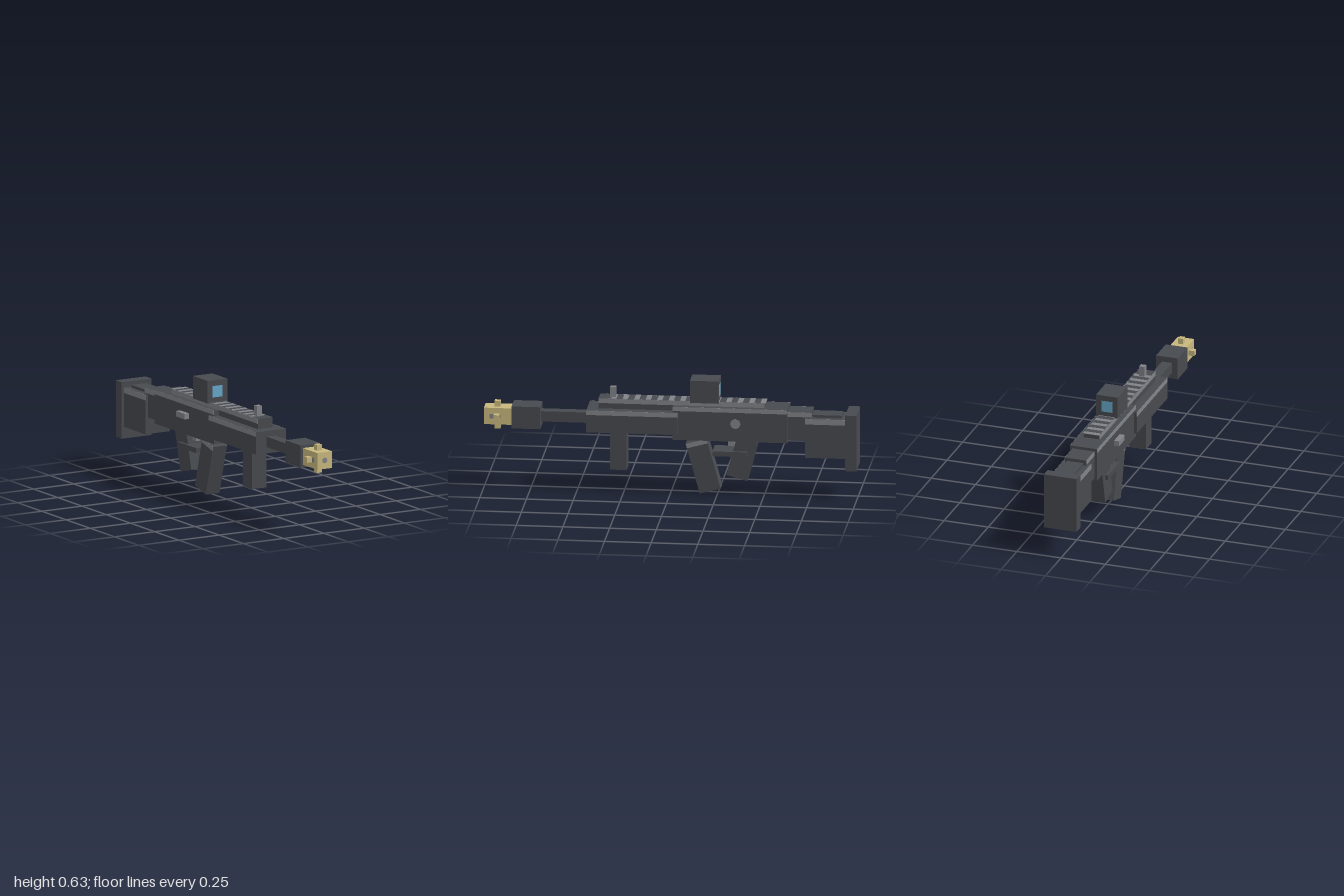
import * as THREE from 'three';

const CX = 0.005; // centre plane of the body

export function createModel() {
  const model = new THREE.Group();
  model.name = 'blockRifle';

  const mat = (name, color) => {
    const m = new THREE.MeshStandardMaterial({ color });
    m.name = name;
    return m;
  };
  const dark = mat('gunmetal', 0x474a4f);
  const grey = mat('steelGrey', 0x808388);
  const gold = mat('brass', 0xc8b87e);
  const blue = mat('lensBlue', 0x68a9cb);

  // Box given by its x half-width (about the centre plane) and y, z ranges
  const block = (name, m, hw, y0, y1, z0, z1, x = CX) => {
    const mesh = new THREE.Mesh(new THREE.BoxGeometry(hw * 2, y1 - y0, z1 - z0), m);
    mesh.position.set(x, (y0 + y1) / 2, (z0 + z1) / 2);
    mesh.name = name;
    model.add(mesh);
    return mesh;
  };
  // Thin painted plate on both flanks of a part of half-width hw
  const flanks = (name, m, hw, y0, y1, z0, z1) => {
    for (const s of [-1, 1]) block(name, m, 0.001, y0, y1, z0, z1, CX + s * hw);
  };

  // Stock
  block('buttPlate', dark, 0.0925, 0.172, 0.48, -1, -0.94);
  block('stock', dark, 0.077, 0.235, 0.45, -0.94, -0.722);
  block('cheekRest', dark, 0.046, 0.44, 0.465, -0.915, -0.76);
  block('stockNeck', dark, 0.061, 0.325, 0.48, -0.755, -0.62);
  flanks('stockEdge', grey, 0.077, 0.42, 0.45, -0.94, -0.722);
  flanks('neckEdge', grey, 0.061, 0.455, 0.48, -0.755, -0.625);

  // Receiver and handguard
  block('receiver', dark, 0.077, 0.312, 0.495, -0.628, -0.015);
  flanks('receiverEdge', grey, 0.077, 0.472, 0.495, -0.628, -0.015);
  block('handguard', dark, 0.0925, 0.343, 0.465, -0.042, 0.447);
  flanks('handguardEdge', grey, 0.0925, 0.44, 0.465, -0.042, 0.447);

  // Top rail with painted slots
  block('topRail', dark, 0.046, 0.46, 0.52, -0.503, 0.386);
  flanks('railEdge', grey, 0.046, 0.495, 0.52, -0.503, 0.386);
  for (let i = 0; i < 14; i++) {
    const z = -0.495 + i * 0.0615;
    block('railSlot', grey, 0.045, 0.519, 0.521, z - 0.014, z + 0.014);
  }

  // Sights
  block('opticHousing', dark, 0.061, 0.515, 0.638, -0.258, -0.105);
  for (const z of [-0.258, -0.105]) {
    block('opticLens', blue, 0.031, 0.545, 0.607, z - 0.001, z + 0.001);
  }
  block('frontSight', grey, 0.0145, 0.51, 0.576, 0.297, 0.328);

  // Barrel and muzzle
  block('barrel', dark, 0.028, 0.377, 0.434, 0.44, 0.71);
  block('barrelCollar', dark, 0.061, 0.343, 0.465, 0.697, 0.85);
  block('muzzle', gold, 0.046, 0.358, 0.449, 0.845, 1);
  block('muzzleSideLugs', gold, 0.077, 0.389, 0.418, 0.915, 0.946);
  block('muzzleVerticalLugs', gold, 0.0145, 0.327, 0.48, 0.915, 0.946);
  flanks('muzzlePort', grey, 0.046, 0.391, 0.415, 0.91, 0.97);

  // Painted bore and side port discs
  const disc = (name, r, x, y, z, side) => {
    const mesh = new THREE.Mesh(new THREE.CylinderGeometry(r, r, 0.002, 8), grey);
    if (side) mesh.rotation.z = Math.PI / 2;
    else mesh.rotation.x = Math.PI / 2;
    mesh.position.set(x, y, z);
    mesh.name = name;
    model.add(mesh);
  };
  disc('bore', 0.016, CX, 0.404, 0.9995, false);
  disc('ejectionPort', 0.028, CX + 0.077, 0.41, -0.35, true);

  // Charging handle on the right flank
  block('chargingHandle', grey, 0.016, 0.403, 0.433, -0.36, -0.27, -0.084);

  // Grips, magazine and trigger
  block('foregrip', dark, 0.046, 0.127, 0.36, 0.235, 0.325);
  const magazine = block('magazine', dark, 0.0425, 0.018, 0.302, -0.232, -0.116);
  magazine.rotation.x = 0.27;
  for (const s of [-1, 1]) {
    const band = new THREE.Mesh(new THREE.BoxGeometry(0.002, 0.025, 0.116), grey);
    band.position.set(s * 0.0425, 0.1295, 0);
    band.name = 'magazineEdge';
    magazine.add(band);
  }
  const rearGrip = block('rearGrip', dark, 0.046, 0.098, 0.318, -0.441, -0.325);
  rearGrip.rotation.x = -0.26;
  block('triggerGuard', dark, 0.061, 0.223, 0.25, -0.412, -0.225);
  block('trigger', grey, 0.0145, 0.268, 0.32, -0.34, -0.305);

  return model;
}
